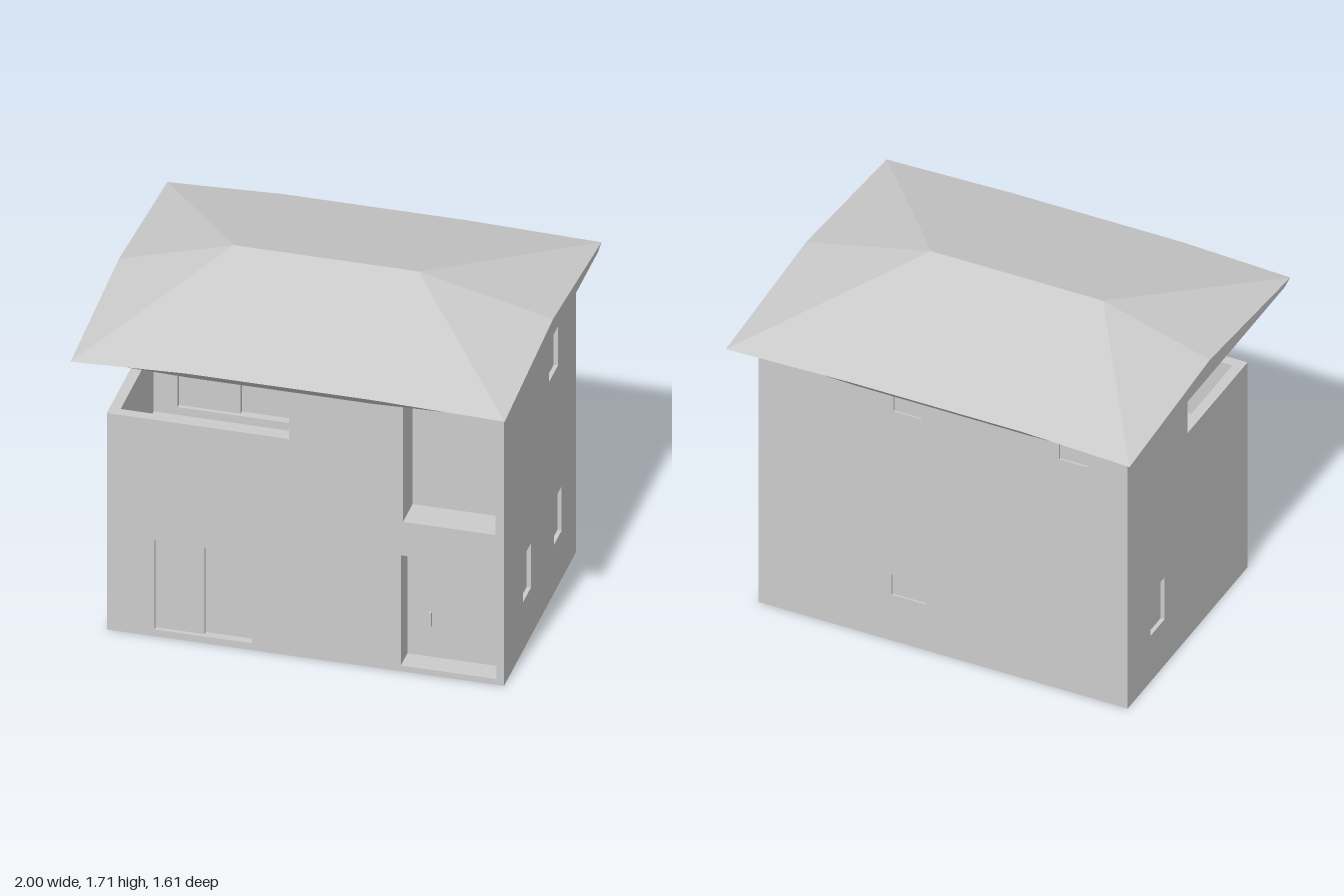
import * as THREE from 'three';

const grey = new THREE.MeshStandardMaterial({ color: 0xcccccc, flatShading: true });

function mesh(name, geometry, x = 0, y = 0, z = 0) {
  const m = new THREE.Mesh(geometry, grey);
  m.name = name;
  m.position.set(x, y, z);
  return m;
}

// Box given by its minimum and maximum corners
function block(name, [x0, y0, z0], [x1, y1, z1]) {
  return mesh(name, new THREE.BoxGeometry(x1 - x0, y1 - y0, z1 - z0),
    (x0 + x1) / 2, (y0 + y1) / 2, (z0 + z1) / 2);
}

// Upright wall, outer face at local z = 0; openings are [u0, v0, u1, v1, recess depth]
function wall(name, outline, thickness, openings) {
  const group = new THREE.Group();
  group.name = name;
  const shape = new THREE.Shape(outline.map(([u, v]) => new THREE.Vector2(u, v)));
  for (const [u0, v0, u1, v1, depth] of openings) {
    shape.holes.push(new THREE.Path([[u0, v0], [u0, v1], [u1, v1], [u1, v0]]
      .map(([u, v]) => new THREE.Vector2(u, v))));
    group.add(mesh('recessedPane', new THREE.PlaneGeometry(u1 - u0, v1 - v0),
      (u0 + u1) / 2, (v0 + v1) / 2, -depth));
  }
  const geometry = new THREE.ExtrudeGeometry(shape, { depth: thickness, bevelEnabled: false });
  geometry.translate(0, 0, -thickness);
  group.add(mesh('wallPanel', geometry));
  return group;
}

const rect = (u0, v0, u1, v1) => [[u0, v0], [u1, v0], [u1, v1], [u0, v1]];

// Hipped-looking roof lofted through four cross-sections along x
function roofGeometry() {
  // x, underside, eave and ridge heights
  const sections = [
    [-1, 1.47, 1.487, 1.555], [-0.47, 1.457, 1.51, 1.71],
    [0.38, 1.457, 1.51, 1.71], [1, 1.477, 1.495, 1.562],
  ].map(([x, under, eave, ridge]) => [
    [x, under, -0.75], [x, eave, -0.805], [x, ridge, 0], [x, eave, 0.805], [x, under, 0.75],
  ]);
  const points = [];
  const tri = (...corners) => corners.forEach((p) => points.push(...p));
  for (let i = 0; i < 3; i++) {
    for (let j = 0; j < 5; j++) {
      const k = (j + 1) % 5;
      const [a, b, c, d] = [sections[i][j], sections[i][k], sections[i + 1][k], sections[i + 1][j]];
      // creases run from the outer corners up to the ridge ends
      if ((i === 0) === (j >= 2)) { tri(a, b, d); tri(b, c, d); }
      else { tri(a, b, c); tri(a, c, d); }
    }
  }
  const [first, last] = [sections[0], sections[3]];
  for (let k = 1; k < 4; k++) {
    tri(last[0], last[k], last[k + 1]);
    tri(first[0], first[k + 1], first[k]);
  }
  const geometry = new THREE.BufferGeometry();
  geometry.setAttribute('position', new THREE.Float32BufferAttribute(points, 3));
  geometry.computeVertexNormals();
  return geometry;
}

export function createModel() {
  const house = new THREE.Group();
  house.name = 'house';
  const top = 1.48, parapet = 1.12, floor = 0.79;

  // Front: thin parapet side with sliding doors, thick side with entrance and upper bay
  const frontLeft = wall('frontParapetWall', rect(-0.89, 0, -0.05, parapet), 0.05,
    [[-0.67, 0.035, -0.22, 0.495, 0.04]]);
  const frontRight = wall('frontEntranceWall', rect(-0.05, 0, 0.94, top), 0.17, [
    [0.465, 0.03, 0.905, 0.6, 0.11],
    [0.475, 0.775, 0.9, 1.462, 0.16],
  ]);
  frontLeft.position.z = frontRight.position.z = 0.6;

  // Right side, u = -z
  const right = wall('rightWall', rect(-0.43, 0, 0.57, top), 0.05, [
    [-0.285, 0.25, -0.15, 0.48, 0.02],
    [0.23, 0.25, 0.36, 0.48, 0.02],
    [0.15, 1.14, 0.3, 1.362, 0.02],
  ]);
  right.rotation.y = Math.PI / 2;
  right.position.x = 0.94;

  // Left side, u = z, stepped down along the balcony
  const left = wall('leftWall',
    [[-0.57, 0], [0.55, 0], [0.55, parapet], [0, parapet], [0, top], [-0.57, top]], 0.05,
    [[-0.37, 0.25, -0.23, 0.48, 0.02]]);
  left.rotation.y = -Math.PI / 2;
  left.position.x = -0.89;

  // Back, u = -x
  const back = wall('backWall', rect(-0.94, 0, 0.89, top), 0.03, [
    [-0.28, 0.25, -0.113, 0.36, 0.01],
    [-0.27, 1.255, -0.134, 1.37, 0.01],
    [0.55, 1.255, 0.69, 1.37, 0.01],
  ]);
  back.rotation.y = Math.PI;
  back.position.z = -0.6;

  // Wall behind the balcony, with its sliding doors
  const balconyBack = wall('balconyBackWall', rect(-0.84, floor, -0.05, top), 0.05,
    [[-0.73, 0.83, -0.16, 1.35, 0.04]]);

  house.add(frontLeft, frontRight, right, left, back, balconyBack);

  // Forward leaf of each pair of sliding doors
  house.add(block('slidingDoorLeaf', [-0.67, 0.035, 0.56], [-0.445, 0.495, 0.58]));
  house.add(block('slidingDoorLeaf', [-0.73, 0.83, -0.04], [-0.445, 1.35, -0.02]));

  house.add(block('balconySideWall', [-0.05, floor, -0.05], [0, top, 0.43]));
  house.add(block('balconyFloor', [-0.84, floor - 0.04, -0.05], [-0.05, floor, 0.55]));
  house.add(block('groundSlab', [-0.84, 0, -0.57], [0.89, 0.02, 0.55]));
  house.add(block('doorHandle', [0.564, 0.19, 0.485], [0.577, 0.262, 0.505]));
  house.add(mesh('roof', roofGeometry()));
  return house;
}
